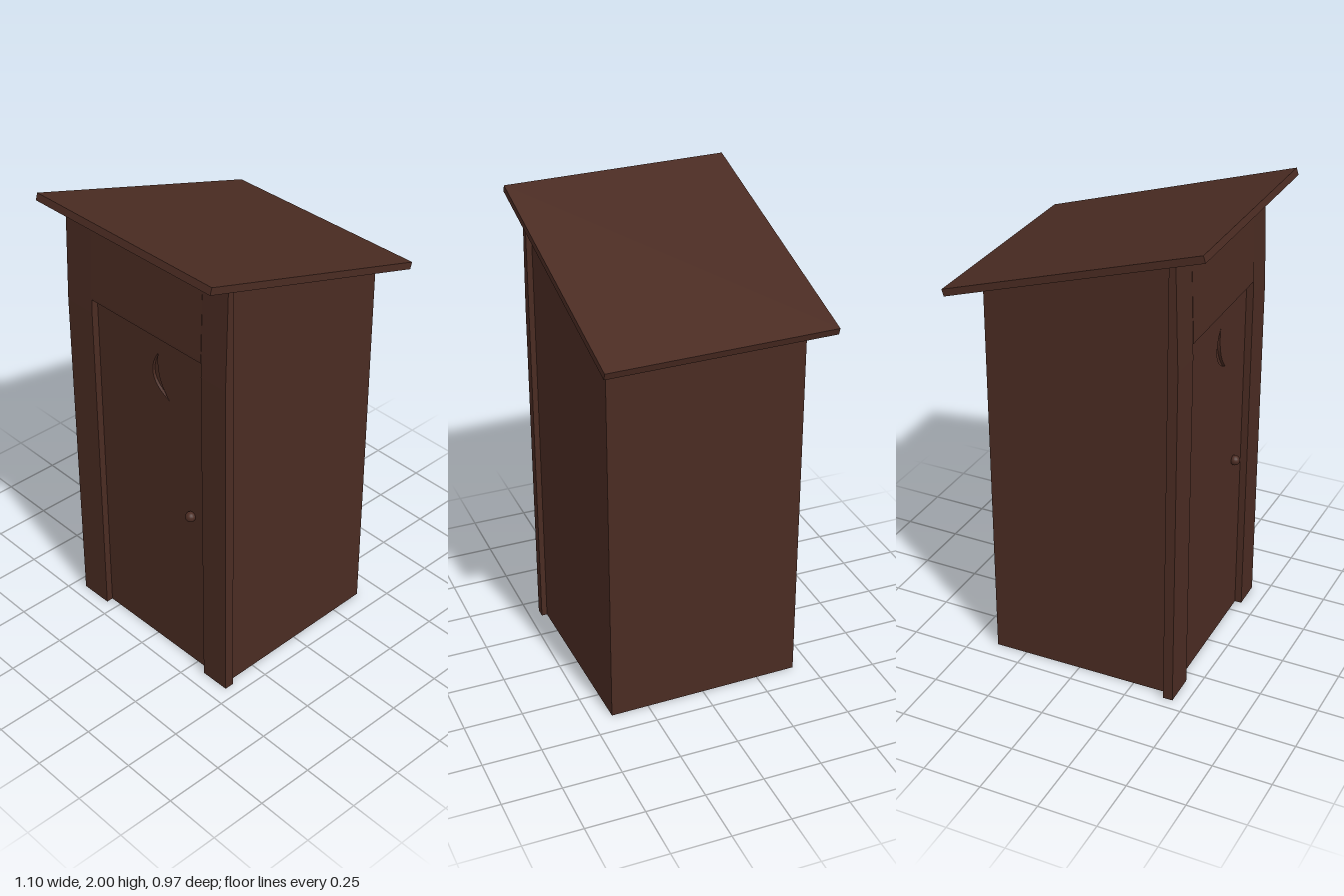
import * as THREE from 'three';

const wood = new THREE.MeshStandardMaterial({ color: 0x4a2b22, flatShading: true });
const knobMaterial = new THREE.MeshStandardMaterial({ color: 0x4a2b22 });

// Height of the roof's underside at a given x
const roofY = (x) => 1.802 - 0.313 * x;

// Side profile (x, y) extruded from z0 to z1
function profile(name, points, z0, z1) {
  const shape = new THREE.Shape(points.map(([x, y]) => new THREE.Vector2(x, y)));
  const geometry = new THREE.ExtrudeGeometry(shape, { depth: z1 - z0, bevelEnabled: false });
  geometry.translate(0, 0, z0);
  const mesh = new THREE.Mesh(geometry, wood);
  mesh.name = name;
  return mesh;
}

export function createModel() {
  const shed = new THREE.Group();
  shed.name = 'outhouse';
  const back = -0.393, face = -0.435, faceTop = -0.42;

  // Cabin with a slanted top
  shed.add(profile('cabin', [
    [back, 0], [0.395, 0], [0.395, roofY(0.395)], [back, roofY(back)],
  ], -0.416, 0.418));

  // Door frame: two posts and a header, leaning in slightly near the top
  const frame = (y0) => [
    [face, y0], [back, y0], [back, roofY(back)], [faceTop, roofY(faceTop)], [face, Math.max(1.5, y0 + 0.01)],
  ];
  shed.add(profile('rightPost', frame(0), -0.455, -0.31));
  shed.add(profile('leftPost', frame(0), 0.31, 0.442));
  shed.add(profile('doorHeader', frame(1.56), -0.31, 0.31));

  // Door with a crescent cut-out, drawn in (z, y) and turned to face -x
  const panel = new THREE.Shape();
  panel.moveTo(-0.31, 0).lineTo(0.31, 0).lineTo(0.31, 1.56).lineTo(-0.31, 1.56).closePath();
  const crescent = new THREE.Path();
  crescent.moveTo(0.04, 1.465);
  crescent.quadraticCurveTo(-0.05, 1.33, 0.1, 1.27);
  crescent.quadraticCurveTo(0.02, 1.35, 0.04, 1.465);
  panel.holes.push(crescent);
  const doorGeometry = new THREE.ExtrudeGeometry(panel, { depth: 0.012, bevelEnabled: false, curveSegments: 10 });
  doorGeometry.rotateY(-Math.PI / 2).translate(back, 0, 0);
  const door = new THREE.Mesh(doorGeometry, wood);
  door.name = 'door';
  shed.add(door);

  // Door knob
  const knob = new THREE.Mesh(new THREE.SphereGeometry(0.022, 16, 10), knobMaterial);
  knob.name = 'doorKnob';
  knob.position.set(-0.415, 0.775, 0.22);
  shed.add(knob);

  // Overhanging lean-to roof
  const roof = new THREE.Mesh(new THREE.BoxGeometry(1.128, 0.03, 0.955), wood);
  roof.name = 'roof';
  roof.position.y = 1.818;
  roof.rotation.z = -Math.atan(0.313);
  shed.add(roof);

  // The whole hut stands very slightly askew
  shed.rotation.y = 0.0165;
  const model = new THREE.Group();
  model.add(shed);
  return model;
}
